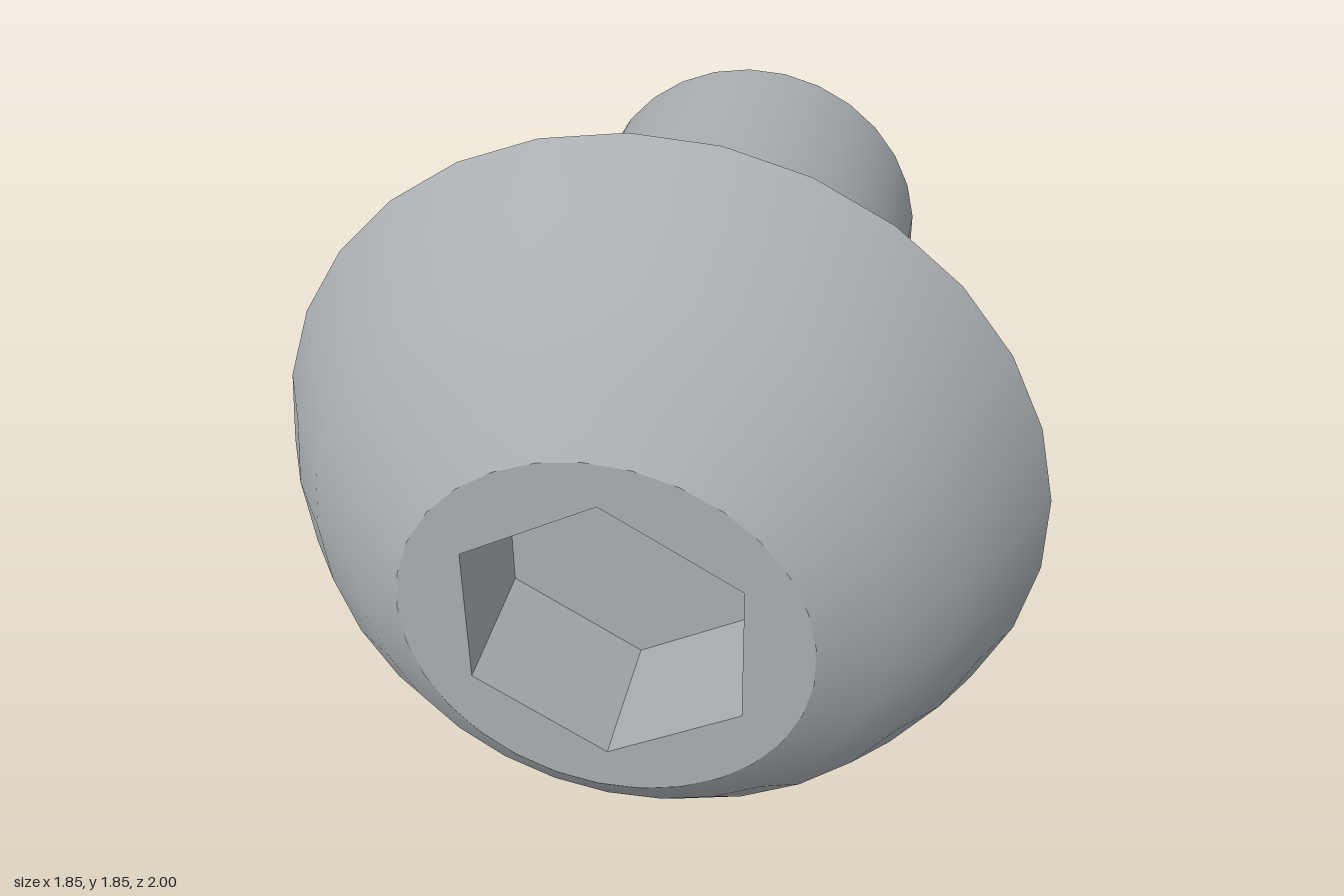
import * as THREE from 'three';

const SIDES = 29;          // facets around the axis
const HEX_R = 0.353;       // socket corner radius
const DRILL_R = 0.306;     // socket inscribed radius
const FRONT_Z = 1, FLOOR_Z = 0.665, SEAT_Z = 0.465;

// Regular polygon outline with a chosen starting angle
function polygon(Type, radius, sides, start) {
  const points = [];
  for (let i = 0; i < sides; i++) {
    const a = start + (i / sides) * Math.PI * 2;
    points.push(new THREE.Vector2(radius * Math.cos(a), radius * Math.sin(a)));
  }
  return new Type(points);
}

export function createModel() {
  const steel = new THREE.MeshStandardMaterial({ color: 0xa9aeb2 });
  steel.name = 'steel grey';
  const group = new THREE.Group();
  group.name = 'socketScrew';
  group.position.y = 0.925;

  function add(name, geometry) {
    const mesh = new THREE.Mesh(geometry, steel);
    mesh.name = name;
    group.add(mesh);
  }

  // Revolve [radius, z] points around the z axis
  function revolve(profile, sides = SIDES, start = -Math.PI / 2) {
    const points = profile.map(([r, z]) => new THREE.Vector2(r, z));
    return new THREE.LatheGeometry(points, sides, start).rotateX(Math.PI / 2);
  }

  // Button head: dome and flat underside
  add('headDome', revolve([[0.926, SEAT_Z], [0.845, 0.625], [0.737, 0.778], [0.605, 0.9], [0.462, FRONT_Z]]));
  add('headUnderside', revolve([[0.53, SEAT_Z], [0.926, SEAT_Z]]));

  // Front face pierced by the hexagon
  const face = polygon(THREE.Shape, 0.462, SIDES, Math.PI);
  face.holes.push(polygon(THREE.Path, HEX_R, 6, Math.PI / 2));
  add('headFace', new THREE.ShapeGeometry(face).translate(0, 0, FRONT_Z));

  // Hexagonal socket: flat walls, corner floor and drill cone
  const walls = revolve([[HEX_R, FRONT_Z], [HEX_R, FLOOR_Z]], 6, 0).toNonIndexed();
  walls.computeVertexNormals();
  add('socketWalls', walls);

  const floor = polygon(THREE.Shape, HEX_R, 6, Math.PI / 2);
  floor.holes.push(polygon(THREE.Path, DRILL_R, SIDES, Math.PI));
  add('socketFloor', new THREE.ShapeGeometry(floor).translate(0, 0, FLOOR_Z));
  add('socketCone', revolve([[DRILL_R, FLOOR_Z], [0, FLOOR_Z - 0.177]]));

  // Shank with chamfered tip
  add('shank', revolve([[0.484, -0.91], [0.484, 0.415]]));
  add('tipChamfer', revolve([[0.392, -1], [0.484, -0.91]]));
  add('tipFace', revolve([[0, -1], [0.392, -1]]));

  // Concave fillet between shank and head
  const fillet = [];
  for (let i = 0; i <= 6; i++) {
    const a = (i / 6) * Math.PI / 2;
    fillet.push([0.534 - 0.05 * Math.cos(a), 0.415 + 0.05 * Math.sin(a)]);
  }
  add('shankFillet', revolve(fillet));

  return group;
}
